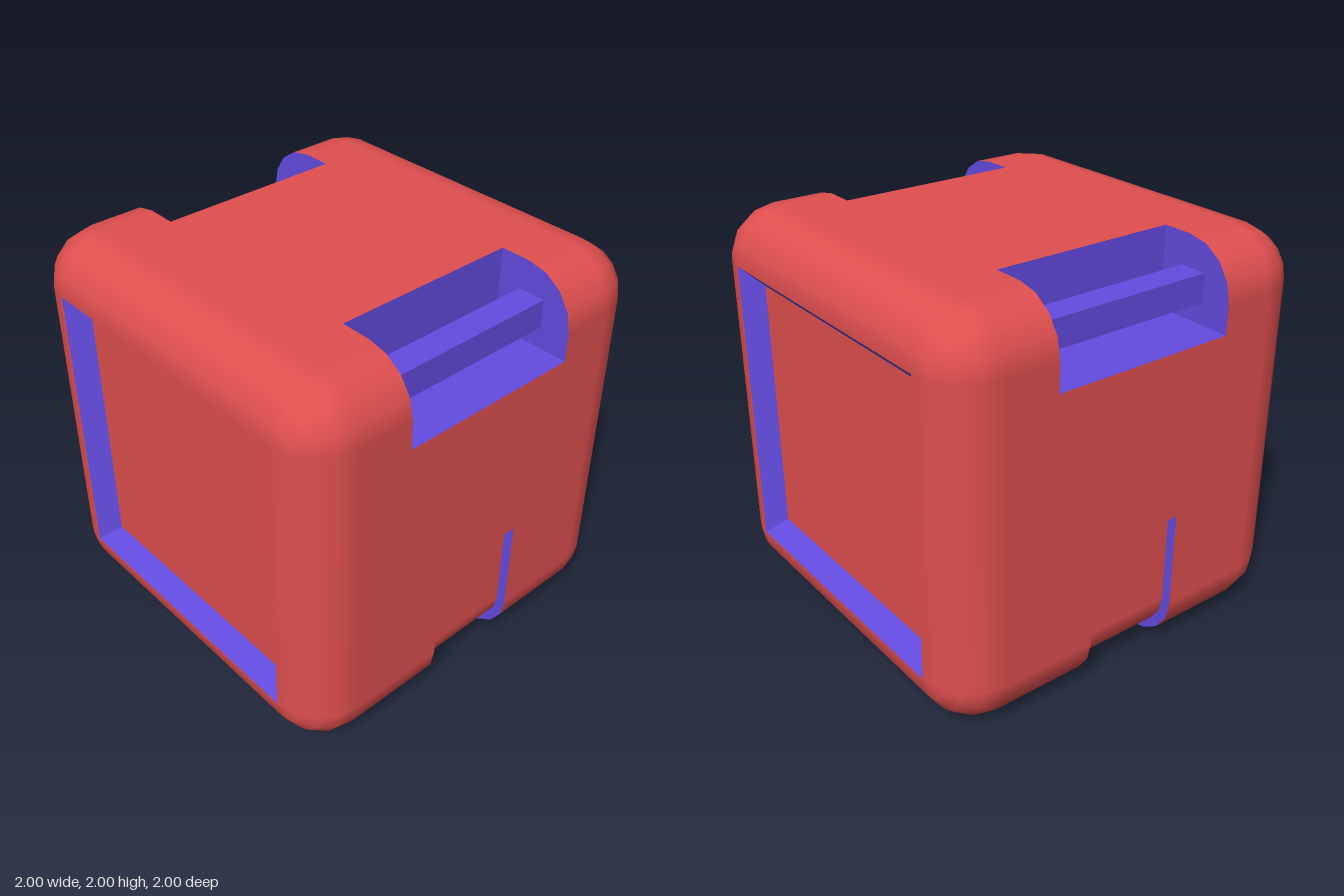
import * as THREE from 'three';
import { mergeGeometries } from 'three/addons/utils/BufferGeometryUtils.js';

const R = 0.26, C = 1 - R;        // edge radius, start of the rounding
const STEPS = 4;                  // facets per rounded edge
const LOW = C - 1 + 0.0 + R;      // height of the bottom face
const NZ = 0.475, NX = 0.59, NY = 1.6;          // handle notch
const FZ = 0.25, FY = 0.75, FD = 0.05;          // foot recess

const red = new THREE.MeshStandardMaterial({ color: 0xe04f4f });
const purple = new THREE.MeshStandardMaterial({ color: 0x644be0, side: THREE.DoubleSide });
const purpleFlat = purple.clone();
purpleFlat.flatShading = true;

// Smooth surface from rows of [x, y, z, nx, ny, nz]
function grid(rows) {
  const n = rows[0].length, pos = [], nor = [], idx = [];
  rows.flat().forEach((p) => { pos.push(...p.slice(0, 3)); nor.push(...p.slice(3)); });
  for (let j = 0; j < rows.length - 1; j++) {
    for (let i = 0; i < n - 1; i++) {
      const a = j * n + i, d = a + n;
      idx.push(a, a + 1, d + 1, a, d + 1, d);
    }
  }
  const g = new THREE.BufferGeometry();
  g.setAttribute('position', new THREE.Float32BufferAttribute(pos, 3));
  g.setAttribute('normal', new THREE.Float32BufferAttribute(nor, 3));
  g.setIndex(idx);
  return g;
}

// Path of [x, y, nx, ny] swept along z
const strip = (path, z0, z1) =>
  grid([z0, z1].map((z) => path.map(([x, y, nx, ny]) => [x, y, z, nx, ny, 0])));

// Straight path with its outward normal
function line(x0, y0, x1, y1) {
  const l = Math.hypot(x1 - x0, y1 - y0), nx = (y1 - y0) / l, ny = (x0 - x1) / l;
  return [[x0, y0, nx, ny], [x1, y1, nx, ny]];
}

// Quarter arc around (cx, cy), counterclockwise from the given quarter
function arc(cx, cy, r, quarter) {
  return Array.from({ length: STEPS + 1 }, (_, i) => {
    const t = (quarter + i / STEPS) * Math.PI / 2, c = Math.cos(t), s = Math.sin(t);
    return [cx + r * c, cy + r * s, c, s];
  });
}

const footPath = (r) => [...arc(C, LOW + R, r, 3), [C + r, FY, 1, 0]];

// Rounded end of the body, from the notch to the front face
function endShell() {
  const ring = (z, phi) => {
    const c = Math.cos(phi), s = Math.sin(phi);
    const pts = [[C, 1 + C], [-C, 1 + C], [-C, R], [C, R]].flatMap(([x, y], q) => arc(x, y, R * c, q));
    pts.push(pts[0]);
    return pts.map(([x, y, nx, ny]) => [x, y, z, nx * c, ny * c, s]);
  };
  const rows = [ring(NZ, 0)];
  for (let i = 0; i <= STEPS; i++) {
    const phi = i / STEPS * Math.PI / 2;
    rows.push(ring(C + R * Math.sin(phi), phi));
  }
  return grid(rows);
}

function add(group, name, geometry, material) {
  const mesh = new THREE.Mesh(geometry, material);
  mesh.name = name;
  group.add(mesh);
  return mesh;
}

// Flat wall in the xy plane at depth z
function wall(points, z) {
  const shape = new THREE.Shape(points.map(([x, y]) => new THREE.Vector2(x, y)));
  return new THREE.ShapeGeometry(shape).translate(0, 0, z);
}

// One end: rounded shell, bevelled frame and sunken panel
function makeEnd(name) {
  const g = new THREE.Group();
  g.name = name;
  add(g, 'endShell', endShell(), red);
  const inner = 0.65, depth = 0.09;
  const bevel = new THREE.CylinderGeometry(inner * Math.SQRT2, C * Math.SQRT2, depth, 4, 1, true);
  bevel.rotateY(Math.PI / 4).rotateX(-Math.PI / 2).translate(0, 1, 1 - depth / 2);
  add(g, 'panelBevel', bevel, purpleFlat);
  add(g, 'sunkenPanel', new THREE.PlaneGeometry(2 * inner, 2 * inner).translate(0, 1, 1 - depth), red);
  return g;
}

// One side: skin, handle notch with bar, foot recess
function makeSide(name) {
  const g = new THREE.Group();
  g.name = name;

  const outer = footPath(R);
  add(g, 'sideSkin', mergeGeometries([
    strip(line(1, FY, 1, NY), -NZ, NZ),
    strip(outer, FZ, NZ),
    strip(outer, -NZ, -FZ),
  ]), red);

  // Handle notch
  const notchEnd = [[NX, NY], [1, NY], ...arc(C, 1 + C, R, 0), [NX, 2]];
  add(g, 'handleNotch', mergeGeometries([
    strip(line(1, NY, NX, NY), -NZ, NZ),
    strip(line(NX, NY, NX, 2), -NZ, NZ),
  ]), purple);
  for (const z of [-NZ, NZ]) add(g, 'notchEnd', wall(notchEnd, z), purple);
  add(g, 'handleBar', new THREE.BoxGeometry(0.14, 0.14, 2 * NZ).translate(0.775, 1.775, 0), purple);

  // Foot recess
  const inner = footPath(R - FD);
  add(g, 'footRecess', strip(inner, -FZ, FZ), red);
  add(g, 'footRim', mergeGeometries([
    strip(line(C, 0, C, FD), -FZ, FZ),
    strip(line(1 - FD, FY, 1, FY), -FZ, FZ),
  ]), purple);
  const rim = [...outer, ...inner.slice().reverse()];
  for (const z of [-FZ, FZ]) add(g, 'footRimSide', wall(rim, z), purple);
  return g;
}

export function createModel() {
  const model = new THREE.Group();
  model.name = 'roundedCrate';

  const front = makeEnd('frontEnd'), back = makeEnd('backEnd');
  const left = makeSide('leftSide'), right = makeSide('rightSide');
  back.rotation.y = right.rotation.y = Math.PI;
  model.add(front, back, left, right);

  // Flat top and bottom between the ends
  add(model, 'topSkin', strip(line(NX, 2, -NX, 2), -NZ, NZ), red);
  add(model, 'bottomSkin', strip(line(-C, 0, C, 0), -NZ, NZ), red);
  return model;
}
